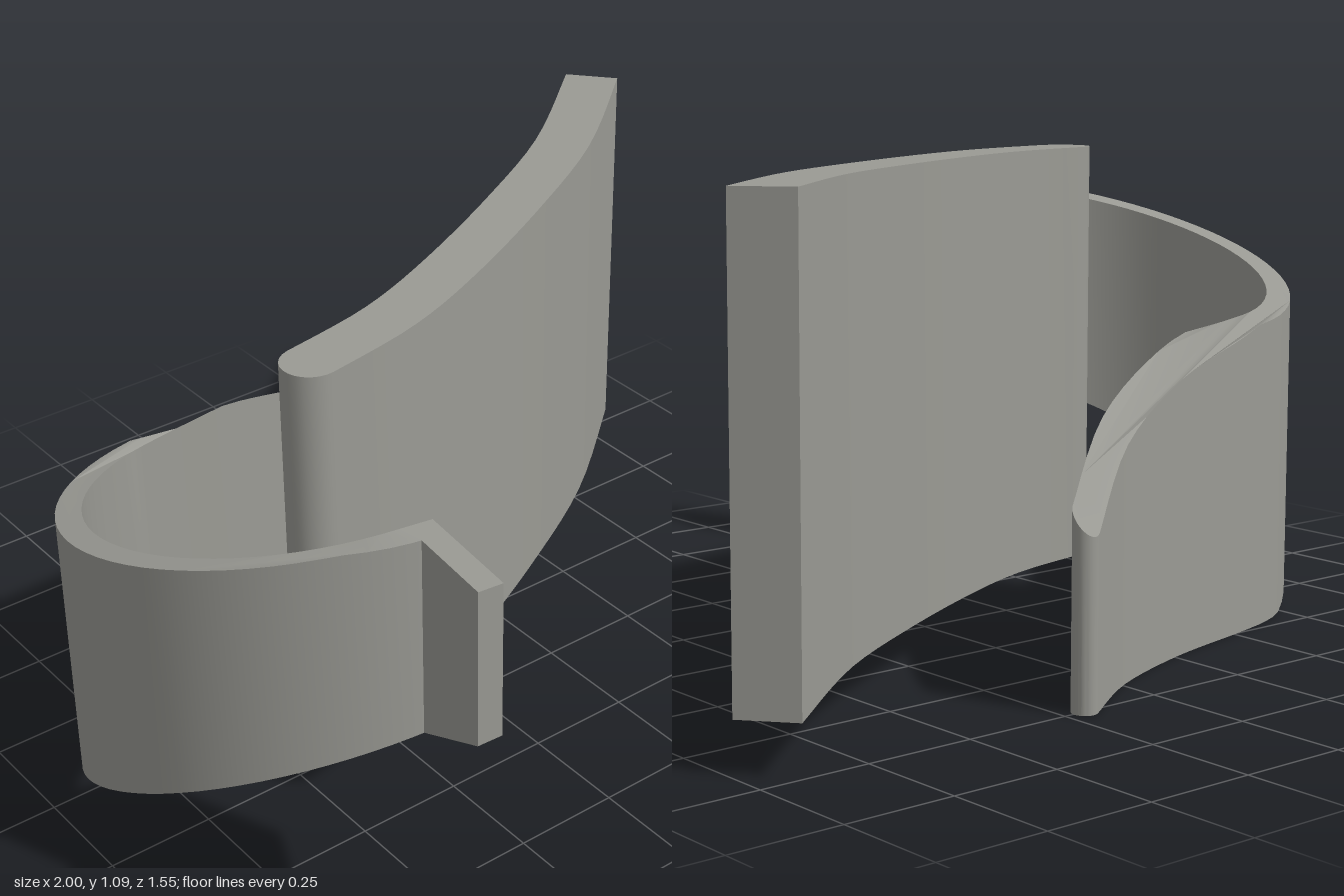
import * as THREE from 'three';
import { toCreasedNormals } from 'three/addons/utils/BufferGeometryUtils.js';

const V = (x, z) => new THREE.Vector2(x, z);

// Outline of a strip along a plan path: mitred corners, flat start, round end
function stripShape(path, width) {
  const r = width / 2, n = path.length - 1;
  const dirs = path.slice(1).map((p, i) => p.clone().sub(path[i]).normalize());
  const left = [], right = [];
  path.forEach((p, i) => {
    const d1 = dirs[Math.max(i - 1, 0)], d2 = dirs[Math.min(i, n - 1)];
    const n1 = V(-d1.y, d1.x);
    const m = V(-d1.y - d2.y, d1.x + d2.x).normalize();
    m.multiplyScalar(r / m.dot(n1));
    left.push(p.clone().add(m));
    right.push(p.clone().sub(m));
  });
  const a = dirs[n - 1].angle(), cap = [];
  for (let i = 1; i < 12; i++) {
    const t = a + Math.PI / 2 - (Math.PI * i) / 12;
    cap.push(V(path[n].x + r * Math.cos(t), path[n].y + r * Math.sin(t)));
  }
  const outline = [...left, ...cap, ...right.reverse()];
  return new THREE.Shape(outline.map((p) => V(p.x, -p.y)));
}

// Upright wall whose lower and upper edges follow rules in z
function wall(name, path, width, bottom, top, material) {
  let g = new THREE.ExtrudeGeometry(stripShape(path, width), { depth: 1, bevelEnabled: false });
  g.rotateX(-Math.PI / 2);
  const pos = g.attributes.position;
  for (let i = 0; i < pos.count; i++) {
    const z = pos.getZ(i);
    pos.setY(i, pos.getY(i) > 0.5 ? top(z) : bottom(z));
  }
  g.computeVertexNormals();
  g = toCreasedNormals(g, 0.45);
  const mesh = new THREE.Mesh(g, material);
  mesh.name = name;
  return mesh;
}

export function createModel() {
  const group = new THREE.Group();
  group.name = 'curvedWalls';
  const grey = new THREE.MeshStandardMaterial({ color: 0x9a9a94 });
  grey.name = 'warm grey';

  // Thick, gently curved panel
  const panelPath = new THREE.SplineCurve([
    V(0.953, -0.708), V(0.645, -0.455), V(0.335, -0.268),
    V(0.02, -0.106), V(-0.215, -0.011), V(-0.453, 0.04),
  ]).getPoints(24);
  group.add(wall('thickPanel', panelPath, 0.132, () => 0.11, () => 1.09, grey));

  // Thin hooked band: end tab, round bend, then a sweeping tail
  const band = [V(-0.565, 0.769)];
  const a0 = 1.718, a1 = 4.445;
  for (let i = 0; i <= 32; i++) {
    const a = a0 + ((a1 - a0) * i) / 32;
    band.push(V(-0.465 + 0.508 * Math.cos(a), 0.04 + 0.508 * Math.sin(a)));
  }
  const tail = new THREE.SplineCurve([
    band[band.length - 1], V(-0.5, -0.475), V(-0.25, -0.533), V(0, -0.626), V(0.2, -0.753),
  ]).getPoints(20);
  band.push(...tail.slice(1));

  const bandBottom = (z) => Math.max(0, 0.512 * (z + 0.43));
  const bandTop = (z) => {
    if (z > 0.51) return 0.975;
    if (z > -0.48) return 0.975 - 0.275 * (0.51 - z);
    return 0.703 - 1.12 * (-0.48 - z);
  };
  group.add(wall('hookedBand', band, 0.056, bandBottom, bandTop, grey));

  return group;
}
